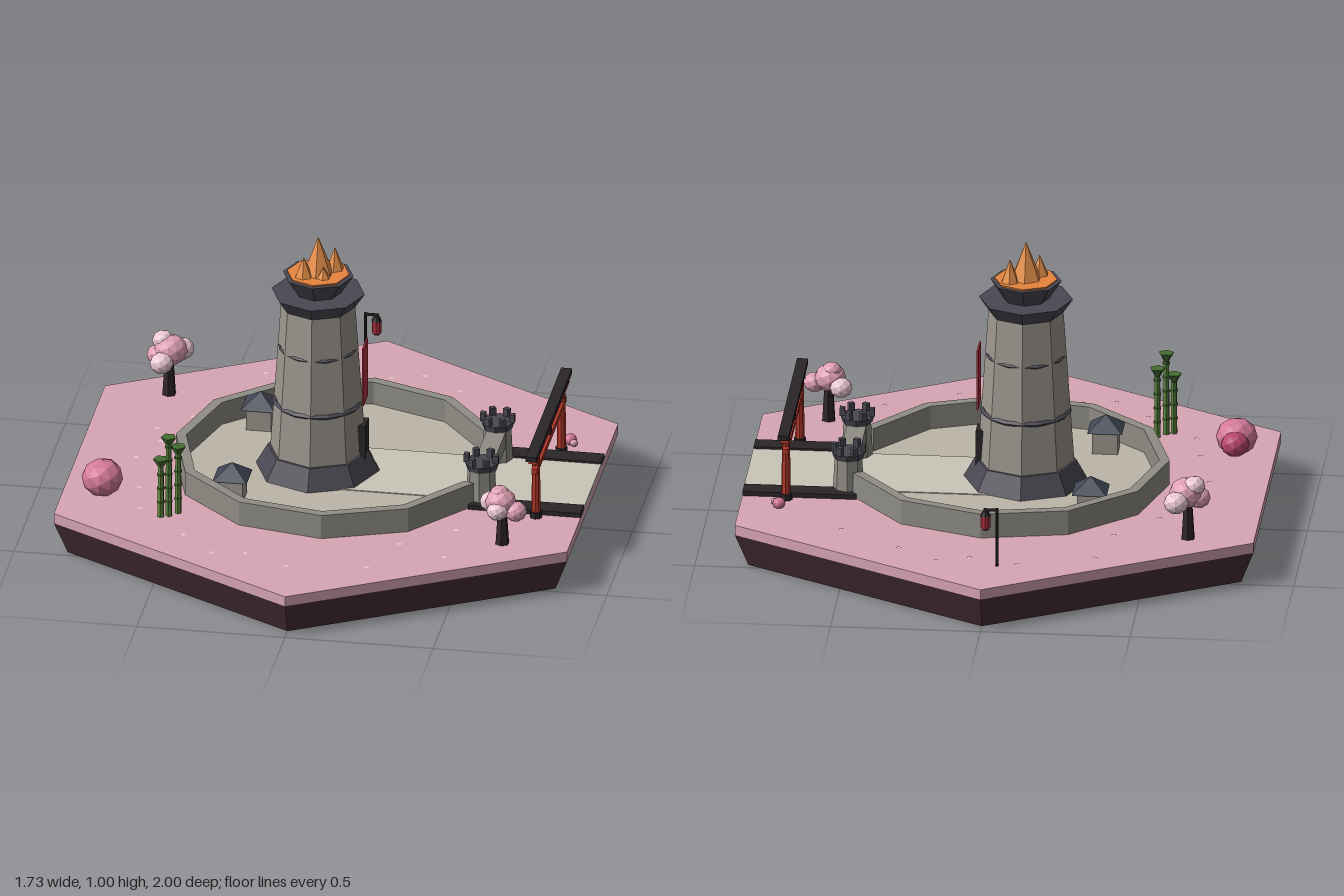
import * as THREE from 'three';

const mat = (color) => new THREE.MeshStandardMaterial({ color, flatShading: true });
const M = {
  earth: mat(0x4a3034), grass: mat(0xd8a5b4), stone: mat(0x8f8d85), floor: mat(0xbdb5a8),
  path: mat(0xcbc5b8), tower: mat(0x9c968d), dark: mat(0x4a4852), black: mat(0x2a2628),
  slate: mat(0x414654), red: mat(0xb83a2c), banner: mat(0xb03040), ember: mat(0xe8843f),
  flame: mat(0xe8914a), bark: mat(0x33262a), blossom: mat(0xdfa0b4), pale: mat(0xecc9d2),
  bush: mat(0xd4789a), deepPink: mat(0xb8456c), bamboo: mat(0x5f8a40), leaf: mat(0x456e30),
};

export function createModel() {
  const root = new THREE.Group();

  const add = (name, geo, material, x = 0, y = 0, z = 0, parent = root) => {
    const m = new THREE.Mesh(geo, material);
    m.name = name;
    m.position.set(x, y, z);
    parent.add(m);
    return m;
  };
  const group = (name, x = 0, z = 0) => {
    const g = new THREE.Group();
    g.name = name;
    g.position.set(x, 0, z);
    root.add(g);
    return g;
  };
  // Box and cylinder placed by their bottom and top heights
  const box = (name, material, w, d, y0, y1, x = 0, z = 0, parent = root) =>
    add(name, new THREE.BoxGeometry(w, y1 - y0, d), material, x, (y0 + y1) / 2, z, parent);
  const cyl = (name, material, r0, r1, y0, y1, sides, x = 0, z = 0, parent = root) =>
    add(name, new THREE.CylinderGeometry(r1, r0, y1 - y0, sides), material, x, (y0 + y1) / 2, z, parent);
  const blob = (name, material, r, x, y, z, parent = root) => {
    const m = add(name, new THREE.IcosahedronGeometry(r, 1), material, x, y, z, parent);
    m.scale.y = 0.9;
    return m;
  };

  // Hexagonal island
  cyl('islandBase', M.earth, 0.95, 1, 0, 0.115, 6);
  cyl('islandTop', M.grass, 1, 1, 0.115, 0.15, 6);

  // Courtyard and paths
  cyl('courtyardFloor', M.floor, 0.515, 0.515, 0.148, 0.154, 40);
  box('courtyardPath', M.path, 0.5, 0.33, 0.15, 0.157, 0.26, 0);
  box('entrancePath', M.path, 0.366, 0.34, 0.149, 0.159, 0.683, 0);
  for (const s of [-1, 1]) box('pathCurb', M.black, 0.38, 0.068, 0.149, 0.166, 0.675, s * 0.2);

  // Curtain wall: ten straight runs with a gap for the gate
  const ring = (r) => Array.from({ length: 11 }, (_, i) => {
    const a = THREE.MathUtils.degToRad(22.5 + 31.5 * i);
    return new THREE.Vector2(r * Math.cos(a), r * Math.sin(a));
  });
  const wallShape = new THREE.Shape([...ring(0.54), ...ring(0.505).reverse()]);
  const wallGeo = new THREE.ExtrudeGeometry(wallShape, { depth: 0.085, bevelEnabled: false });
  add('curtainWall', wallGeo.rotateX(-Math.PI / 2), M.stone, 0, 0.15, 0);

  // Gatehouse with two crenellated turrets
  box('gateLintel', M.stone, 0.065, 0.24, 0.215, 0.27, 0.518, 0);
  for (const s of [-1, 1]) {
    const t = group('gateTurret', 0.518, s * 0.16);
    cyl('turretBody', M.stone, 0.052, 0.046, 0.15, 0.272, 8, 0, 0, t);
    cyl('turretCap', M.dark, 0.05, 0.057, 0.272, 0.295, 8, 0, 0, t);
    for (let i = 0; i < 6; i++) {
      const a = (i * Math.PI) / 3;
      const b = box('merlon', M.dark, 0.018, 0.02, 0.293, 0.322, 0.049 * Math.cos(a), 0.049 * Math.sin(a), t);
      b.rotation.y = -a;
    }
  }

  // Beacon tower
  const tower = group('beaconTower', -0.06, 0);
  cyl('plinth', M.dark, 0.212, 0.17, 0.15, 0.225, 8, 0, 0, tower);
  cyl('shaft', M.tower, 0.163, 0.125, 0.2, 0.76, 8, 0, 0, tower);
  for (const [r, tube, y] of [[0.144, 0.009, 0.402], [0.128, 0.006, 0.6]]) {
    add('shaftBand', new THREE.TorusGeometry(r, tube, 4, 16).rotateX(Math.PI / 2), M.dark, 0, y, 0, tower);
  }
  cyl('collar', M.dark, 0.125, 0.157, 0.752, 0.8, 8, 0, 0, tower);
  cyl('fireBowl', M.dark, 0.077, 0.119, 0.8, 0.864, 8, 0, 0, tower);
  cyl('embers', M.ember, 0.1, 0.105, 0.85, 0.87, 8, 0, 0, tower);
  for (const [x, z, r, top] of [[0, 0, 0.055, 1], [-0.042, 0.038, 0.033, 0.94], [0.05, -0.036, 0.033, 0.95], [0.025, 0.04, 0.025, 0.91]]) {
    add('flame', new THREE.ConeGeometry(r, top - 0.865, 6), M.flame, x, (top + 0.865) / 2, z, tower);
  }
  box('door', M.black, 0.03, 0.07, 0.157, 0.33, 0.15, 0, tower);
  box('banner', M.banner, 0.006, 0.09, 0.41, 0.62, 0.158, 0, tower);

  // Two small huts with pyramid roofs
  for (const s of [-1, 1]) {
    const h = group('hut', -0.302, s * 0.278);
    box('hutWalls', M.tower, 0.085, 0.085, 0.15, 0.232, 0, 0, h);
    const roof = new THREE.ConeGeometry(0.082, 0.05, 4).rotateY(Math.PI / 4);
    add('hutRoof', roof, M.slate, 0, 0.256, 0, h);
  }

  // Red entrance arch
  const arch = group('entranceArch', 0.718, 0);
  for (const s of [-1, 1]) {
    cyl('archPost', M.red, 0.016, 0.013, 0.15, 0.38, 8, 0, s * 0.25, arch);
    cyl('postFoot', M.black, 0.021, 0.02, 0.15, 0.172, 8, 0, s * 0.25, arch);
  }
  box('lowerBeam', M.red, 0.02, 0.57, 0.322, 0.342, 0, 0, arch);
  box('beamStrut', M.black, 0.016, 0.035, 0.342, 0.378, 0, 0, arch);
  box('upperBeam', M.red, 0.028, 0.64, 0.376, 0.398, 0, 0, arch);
  box('topBeam', M.black, 0.037, 0.7, 0.398, 0.415, 0, 0, arch);

  // Blossom trees: puffs are [x, y, z, radius, pale]
  const tree = (x, z, puffs) => {
    const t = group('blossomTree', x, z);
    cyl('trunk', M.bark, 0.024, 0.015, 0.15, 0.285, 6, 0, 0, t);
    for (const [px, py, pz, r, pale] of puffs) blob('blossom', pale ? M.pale : M.blossom, r, px, py, pz, t);
  };
  tree(-0.645, -0.475, [
    [0.005, 0.313, 0, 0.058, 0], [0.035, 0.295, -0.052, 0.042, 1], [-0.035, 0.295, 0.005, 0.04, 0],
    [-0.015, 0.29, 0.06, 0.04, 1], [-0.022, 0.342, -0.01, 0.037, 1],
  ]);
  tree(0.642, 0.47, [
    [-0.005, 0.302, 0, 0.053, 0], [-0.045, 0.282, -0.04, 0.038, 1], [0.048, 0.278, 0.015, 0.038, 0],
    [-0.01, 0.285, 0.035, 0.037, 1], [-0.01, 0.328, -0.005, 0.034, 0],
  ]);

  // Bushes
  blob('bush', M.bush, 0.07, -0.735, 0.205, 0.31);
  blob('bushSide', M.deepPink, 0.048, -0.735, 0.2, 0.252);
  blob('smallBush', M.bush, 0.022, 0.735, 0.165, -0.325);
  blob('smallBushSide', M.blossom, 0.014, 0.75, 0.162, -0.305);

  // Bamboo stalks with nodes and leaf tufts
  for (const [x, z, top] of [[-0.512, 0.458, 0.362], [-0.487, 0.448, 0.44], [-0.46, 0.42, 0.395]]) {
    const b = group('bamboo', x, z);
    cyl('stalk', M.bamboo, 0.012, 0.01, 0.15, top - 0.02, 6, 0, 0, b);
    for (let y = 0.2; y < top - 0.04; y += 0.05) cyl('node', M.leaf, 0.014, 0.014, y, y + 0.006, 6, 0, 0, b);
    cyl('leafTuft', M.leaf, 0.006, 0.027, top - 0.035, top, 5, 0, 0, b);
  }

  // Hanging lantern on a pole
  const lamp = group('lanternPost', -0.035, -0.78);
  cyl('pole', M.black, 0.006, 0.005, 0.15, 0.355, 6, 0, 0, lamp);
  box('poleArm', M.black, 0.05, 0.008, 0.345, 0.353, 0.02, 0, lamp);
  cyl('lanternBody', M.banner, 0.016, 0.016, 0.285, 0.328, 8, 0.038, 0, lamp);
  cyl('lanternBase', M.black, 0.011, 0.013, 0.278, 0.286, 8, 0.038, 0, lamp);
  cyl('lanternCap', M.black, 0.018, 0.01, 0.328, 0.345, 8, 0.038, 0, lamp);

  // Fallen petals scattered around the wall
  for (let i = 0; i < 28; i++) {
    const a = i * 2.4, r = 0.62 + 0.05 * (i % 4);
    if (Math.cos(a) > 0.8) continue;
    add('petal', new THREE.CircleGeometry(0.009, 5).rotateX(-Math.PI / 2), M.pale, r * Math.cos(a), 0.152, r * Math.sin(a));
  }

  return root;
}
